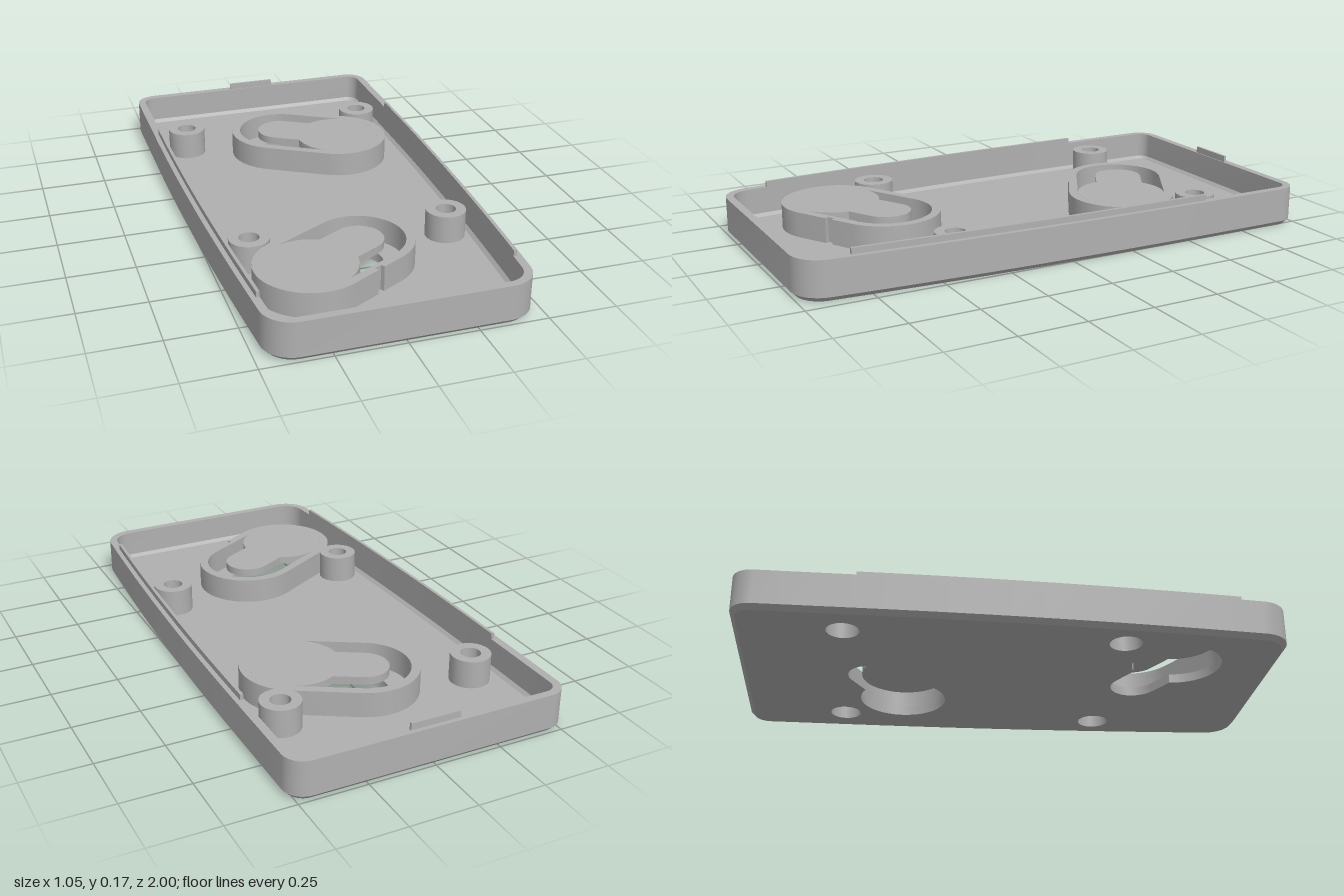
import * as THREE from 'three';
import { toCreasedNormals } from 'three/addons/utils/BufferGeometryUtils.js';

const WALL_TOP = 0.148, FLOOR = 0.035, LID_TOP = 0.13, WALL = 0.03;
const SPAN = 0.247, POCKET_R = 0.167, SLOT_R = 0.09;
const V = (x, y) => new THREE.Vector2(x, y);

// half width of the case: straight at the back, gently tapering to the front
const halfWidth = (z) => 0.523 - 0.026 * Math.max(0, z + 0.55) ** 2;

function arc(cx, cy, r, a0, a1, n) {
  const pts = [];
  for (let i = 0; i <= n; i++) {
    const a = a0 + ((a1 - a0) * i) / n;
    pts.push(V(cx + r * Math.cos(a), cy + r * Math.sin(a)));
  }
  return pts;
}

// case outline inset by d, counter-clockwise in plan (plan y = -z)
function outline(d) {
  const rf = 0.11, rb = 0.075, zf = 1 - rf, zb = -(1 - rb);
  const right = arc(halfWidth(zf) - rf, -zf, rf - d, -Math.PI / 2, 0, 10);
  for (let i = 1; i < 16; i++) {
    const z = zf + ((zb - zf) * i) / 16;
    right.push(V(halfWidth(z) - d, -z));
  }
  right.push(...arc(halfWidth(zb) - rb, -zb, rb - d, 0, Math.PI / 2, 8));
  return [...right, ...right.map((p) => V(-p.x, p.y)).reverse()];
}

// rounded pocket outline around both ends of the keyhole
function capsule(r, notch) {
  const h = Math.PI / 2;
  const cut = notch ? [V(0.125, r), V(0.125, r - 0.016), V(0.095, r - 0.016), V(0.095, r)] : [];
  return [...arc(SPAN, 0, r, -h, h, 24), ...cut, ...arc(0, 0, r, h, 3 * h, 24)];
}

function keyhole() {
  const a = Math.PI - Math.asin(SLOT_R / POCKET_R);
  return [...arc(SPAN, 0, POCKET_R, -a, a, 36),
    ...arc(0, 0, SLOT_R, Math.PI / 2, 1.5 * Math.PI, 16)];
}

const pockets = [
  { name: 'backPocket', z: -0.508, angle: Math.atan2(-0.125, 0.215), notch: false },
  { name: 'frontPocket', z: 0.505, angle: Math.atan2(-0.12, -0.213), notch: true },
];
const place = (pts, p) => pts.map((q) => q.clone().rotateAround(V(0, 0), p.angle).add(V(0, -p.z)));
const bosses = [[0.377, -0.612], [-0.377, -0.612], [0.372, 0.405], [-0.372, 0.405]];

function shapeOf(pts, holes = []) {
  const s = new THREE.Shape(pts);
  s.holes = holes.map((h) => new THREE.Path(h));
  return s;
}

// upright slab from a plan shape
function slab(shape, y0, y1) {
  const g = new THREE.ExtrudeGeometry(shape, { depth: y1 - y0, bevelEnabled: false });
  g.rotateX(-Math.PI / 2).translate(0, y0, 0);
  return toCreasedNormals(g, 0.5);
}

// walls swept through [inset, height] steps
function loft(steps) {
  const pos = [], idx = [];
  let n = 0;
  for (const [d, y] of steps) {
    const ring = outline(d);
    n = ring.length;
    ring.forEach((p) => pos.push(p.x, y, -p.y));
  }
  for (let i = 0; i < steps.length - 1; i++) {
    for (let j = 0; j < n; j++) {
      const a = i * n + j, b = i * n + ((j + 1) % n);
      idx.push(a, b, b + n, a, b + n, a + n);
    }
  }
  const g = new THREE.BufferGeometry();
  g.setAttribute('position', new THREE.Float32BufferAttribute(pos, 3));
  g.setIndex(idx);
  return toCreasedNormals(g, 0.45);
}

export function createModel() {
  const group = new THREE.Group();
  const grey = new THREE.MeshStandardMaterial({ color: 0xb0b0b0 });
  grey.name = 'grey plastic';
  const add = (name, geometry) => {
    const m = new THREE.Mesh(geometry, grey);
    m.name = name;
    group.add(m);
    return m;
  };

  // side walls with chamfered foot, flat rim and a small inner cove
  add('walls', loft([[0.018, 0], [0, 0.018], [0, WALL_TOP], [WALL, WALL_TOP],
    [WALL, FLOOR + 0.012], [WALL + 0.012, FLOOR]]));

  // floor faces, pierced by keyholes and screw holes
  const holes = [
    ...pockets.map((p) => place(keyhole(), p)),
    ...bosses.map(([x, z]) => arc(x, -z, 0.06, 0, 2 * Math.PI, 32).slice(0, -1)),
  ];
  add('floorTop', new THREE.ShapeGeometry(shapeOf(outline(WALL + 0.012), holes))
    .rotateX(-Math.PI / 2).translate(0, FLOOR, 0));
  add('floorUnderside', new THREE.ShapeGeometry(shapeOf(outline(0.018), holes))
    .rotateX(Math.PI / 2).scale(1, 1, -1).translate(0, 0, 0));
  flip(group.children[group.children.length - 1].geometry);

  // keyhole pockets: edge of the opening, raised surround and lid
  for (const p of pockets) {
    const edge = [];
    const idx = [];
    const key = place(keyhole(), p);
    key.forEach((q) => edge.push(q.x, 0, -q.y, q.x, FLOOR, -q.y));
    key.forEach((q, j) => {
      const a = 2 * j, b = 2 * ((j + 1) % key.length);
      idx.push(a, b + 1, b, a, a + 1, b + 1);
    });
    const g = new THREE.BufferGeometry();
    g.setAttribute('position', new THREE.Float32BufferAttribute(edge, 3));
    g.setIndex(idx);
    add(p.name + 'Opening', toCreasedNormals(g, 0.5));
    add(p.name + 'Surround', slab(shapeOf(place(capsule(0.2, p.notch), p),
      [place(capsule(POCKET_R), p)]), FLOOR, LID_TOP));
    add(p.name + 'Lid', slab(shapeOf(key), LID_TOP - 0.03, LID_TOP));
  }

  // screw bosses, counterbored from below
  const profile = [[0.06, 0], [0.06, 0.105], [0.037, 0.105], [0.037, 0.14], [0.074, 0.14], [0.074, FLOOR]]
    .map(([x, y]) => V(x, y)).reverse();
  const bossGeometry = toCreasedNormals(new THREE.LatheGeometry(profile, 32).toNonIndexed(), 0.5);
  for (const [x, z] of bosses) add('screwBoss', bossGeometry).position.set(x, 0, z);

  // locating lips along both sides of the rim
  for (const side of [1, -1]) {
    const outer = [], inner = [];
    for (let i = 0; i <= 14; i++) {
      const z = 0.82 - (1.39 * i) / 14;
      outer.push(V(side * (halfWidth(z) - 0.018), -z));
      inner.push(V(side * (halfWidth(z) - WALL), -z));
    }
    add(side > 0 ? 'leftLip' : 'rightLip',
      slab(shapeOf([...outer, ...inner.reverse()]), WALL_TOP, 0.17));
  }

  // small catch on the back rim
  const catchShape = shapeOf([V(-0.097, 0), V(0.093, 0), V(0.091, 0.025), V(-0.094, 0.025)]);
  add('backCatch', new THREE.ExtrudeGeometry(catchShape, { depth: 0.01, bevelEnabled: false }))
    .position.set(0, WALL_TOP, -0.984);
  return group;
}

// turn a flat plate to face down
function flip(geometry) {
  const index = geometry.index;
  for (let i = 0; i < index.count; i += 3) {
    const a = index.getX(i);
    index.setX(i, index.getX(i + 2));
    index.setX(i + 2, a);
  }
  geometry.computeVertexNormals();
}
